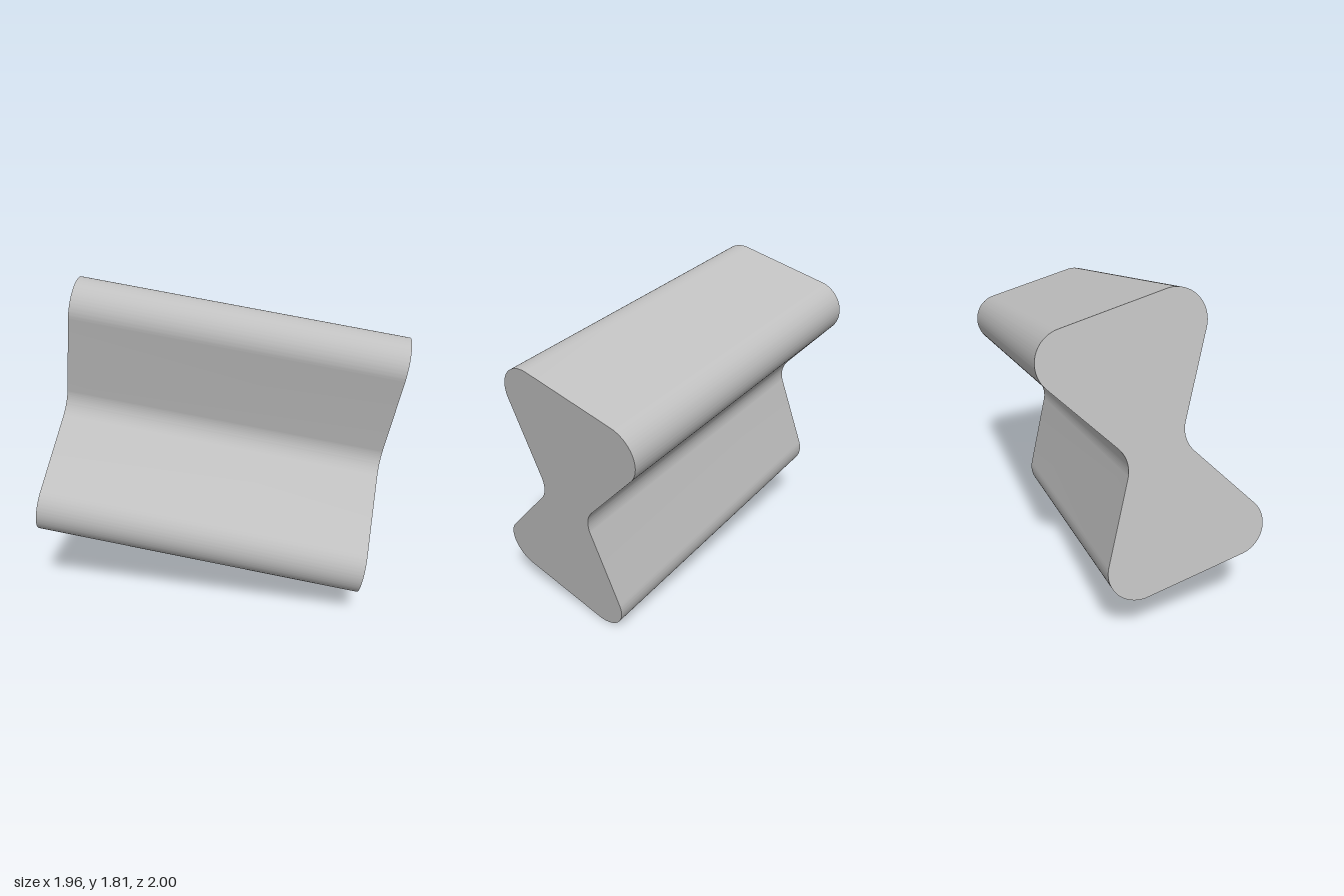
import * as THREE from 'three';
import { toCreasedNormals } from 'three/addons/utils/BufferGeometryUtils.js';

const WAIST = 0.133;      // half width of the sharp waist
const HALF_HEIGHT = 0.717;
const RADIUS = 0.16;      // every corner and both waist grooves
const LENGTH = 1.82;

// Hourglass outline: sides sloping at 60 degrees, all corners rounded
function hourglassShape() {
  const rad = THREE.MathUtils.degToRad;
  const cx = WAIST + HALF_HEIGHT / Math.sqrt(3) - RADIUS * Math.sqrt(3);
  const cy = HALF_HEIGHT - RADIUS;
  const grooveX = WAIST + RADIUS / Math.cos(rad(30));
  const shape = new THREE.Shape();
  const arc = (x, y, from, to) => shape.absarc(x, y, RADIUS, rad(from), rad(to), to < from);
  arc(cx, cy, -30, 90);
  arc(-cx, cy, 90, 210);
  arc(-grooveX, 0, 30, -30);
  arc(-cx, -cy, 150, 270);
  arc(cx, -cy, 270, 390);
  arc(grooveX, 0, 210, 150);
  shape.closePath();
  return shape;
}

export function createModel() {
  const grey = new THREE.MeshStandardMaterial({ color: 0xbfbfbf });
  grey.name = 'grey';

  // Straight bar with smooth rounded edges and crisp ends
  const extruded = new THREE.ExtrudeGeometry(hourglassShape(), {
    depth: LENGTH, bevelEnabled: false, curveSegments: 24,
  });
  extruded.translate(0, 0, -LENGTH / 2);
  extruded.clearGroups();
  const bar = new THREE.Mesh(toCreasedNormals(extruded, Math.PI / 6), grey);
  bar.name = 'hourglassBar';

  // Roll the profile, then point the bar along its tilted axis
  const axis = new THREE.Vector3(0.91, -0.295, 1.55).normalize();
  const side = new THREE.Vector3(0, 1, 0).cross(axis).normalize();
  const up = axis.clone().cross(side);
  const basis = new THREE.Matrix4().makeBasis(side, up, axis);
  const roll = new THREE.Matrix4().makeRotationZ(THREE.MathUtils.degToRad(-15.2));
  bar.quaternion.setFromRotationMatrix(basis.multiply(roll));
  bar.position.y = 0.905;

  const model = new THREE.Group();
  model.name = 'tiltedHourglassBar';
  model.add(bar);
  return model;
}
